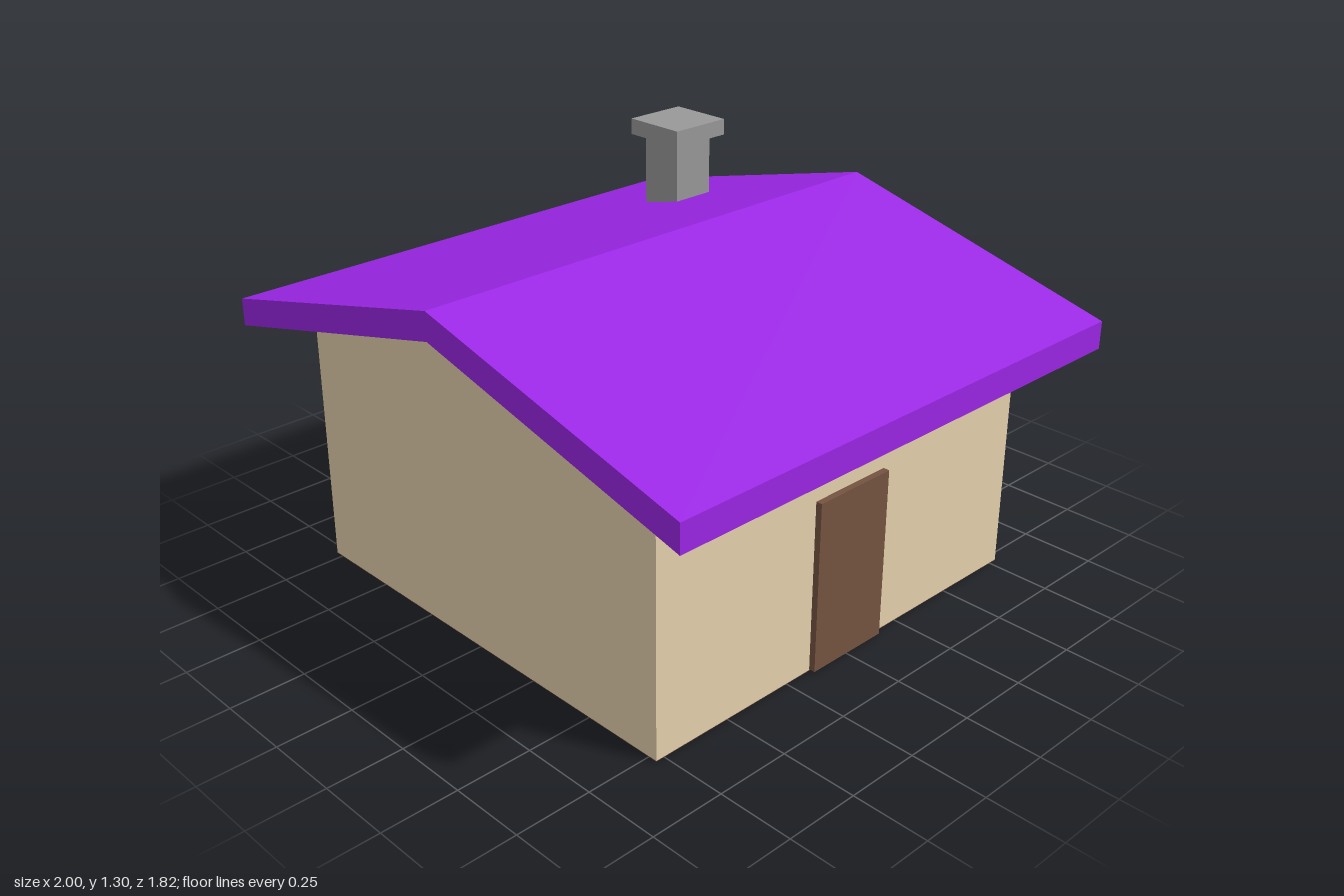
import * as THREE from 'three';

const material = (name, color) => {
  const m = new THREE.MeshStandardMaterial({ color });
  m.name = name;
  return m;
};

export function createModel() {
  const house = new THREE.Group();
  house.name = 'house';

  const plaster = material('beige plaster', 0xe6d1ad);
  const purple = material('purple roof', 0x9b27e6);
  const brown = material('brown wood', 0x755441);
  const grey = material('grey stone', 0x999999);

  const add = (name, geometry, mat, x = 0, y = 0, z = 0) => {
    const mesh = new THREE.Mesh(geometry, mat);
    mesh.name = name;
    mesh.position.set(x, y, z);
    house.add(mesh);
  };
  const box = (name, mat, w, h, d, x, y, z) =>
    add(name, new THREE.BoxGeometry(w, h, d), mat, x, y, z);

  // Extrude an x-y outline along z, centred on z = 0
  const prism = (points, depth) => {
    const shape = new THREE.Shape(points.map(([x, y]) => new THREE.Vector2(x, y)));
    return new THREE.ExtrudeGeometry(shape, { depth, bevelEnabled: false })
      .translate(0, 0, -depth / 2);
  };

  // Gabled walls
  add('walls', prism([
    [-0.78, 0.002], [0.78, 0.002], [0.78, 0.86], [0, 1.055], [-0.78, 0.86],
  ], 1.56), plaster);

  // Floor slab under the walls
  box('floor', brown, 1.56, 0.002, 1.56, 0, 0.001, 0);

  // Pitched roof with overhanging eaves
  add('roof', prism([
    [-1, 0.801], [0, 1.053], [1, 0.801], [1, 0.893], [0, 1.145], [-1, 0.893],
  ], 1.815), purple);

  // Door on the left side wall
  box('door', brown, 0.03, 0.57, 0.3, 0.786, 0.29, 0);

  // Chimney and its cap
  box('chimneyShaft', grey, 0.155, 0.3, 0.155, -0.503, 1.1, -0.543);
  box('chimneyCap', grey, 0.225, 0.055, 0.225, -0.503, 1.2725, -0.543);

  return house;
}
